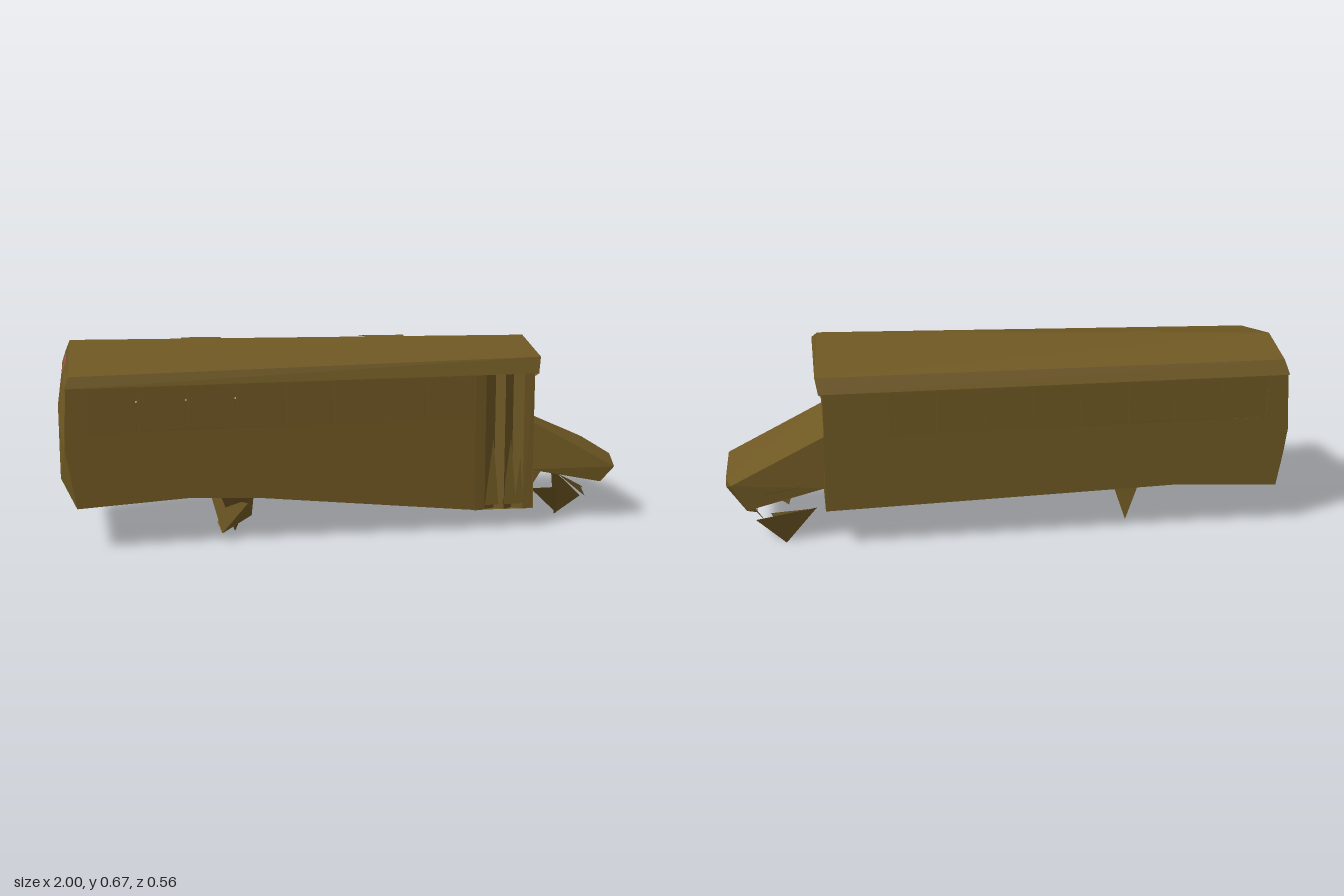
import * as THREE from 'three';

const paint = new THREE.MeshStandardMaterial({ color: 0x6f5823, flatShading: true, side: THREE.DoubleSide });
paint.name = 'ochrePaint';
const pink = new THREE.MeshStandardMaterial({ color: 0xa0505a, flatShading: true, side: THREE.DoubleSide });
pink.name = 'pinkLamp';

// Flat faces from polygons of [x, y, z] corners, each split as a fan
function faces(polys) {
  const out = [];
  for (const p of polys)
    for (let i = 1; i < p.length - 1; i++) out.push(...p[0], ...p[i], ...p[i + 1]);
  const g = new THREE.BufferGeometry();
  g.setAttribute('position', new THREE.Float32BufferAttribute(out, 3));
  g.computeVertexNormals();
  return g;
}

// Quads between two rows of points
const strip = (a, b) => a.slice(1).map((p, i) => [a[i], p, b[i + 1], b[i]]);

// Half width of the body: walls lean in upward
const halfWidth = y => 0.284 - 0.024 * y;

// Roof height, with a ridge running diagonally from rear to front
function roofY(x, z) {
  const t = (x + 0.95) / 1.61, d = z - (-0.11 + 0.22 * t);
  return 0.67 + 0.005 * t - Math.abs(d) * (d > 0 ? 0.2 : 0.165);
}

export function createModel() {
  const bus = new THREE.Group();
  bus.name = 'bus';
  const add = (name, geo, mat = paint) => {
    const m = new THREE.Mesh(geo, mat);
    m.name = name;
    bus.add(m);
  };

  // Side walls with eight window openings and recessed panes
  const pitch = 0.1675, first = -0.905;
  const lower = {
    1: [[-0.95, 0.15], [-0.57, 0.17], [-0.33, 0.158], [0.44, 0.075]],
    '-1': [[-0.95, 0.15], [-0.57, 0.17], [0.66, 0.14]],
  };
  for (const s of [1, -1]) {
    const end = s > 0 ? 0.44 : 0.655;
    const outline = [...lower[s], [end, 0.56], [-0.975, 0.56], [-0.985, 0.36]];
    const shape = new THREE.Shape(outline.map(p => new THREE.Vector2(...p)));
    for (let i = 0; i < 8; i++) {
      const x0 = first + i * pitch + 0.004, x1 = x0 + pitch - 0.008;
      shape.holes.push(new THREE.Path([[x0, 0.405], [x0, 0.552], [x1, 0.552], [x1, 0.405]]
        .map(p => new THREE.Vector2(...p))));
      const z = s * 0.264, sill = i > 0 && i < 4 ? 0.411 : 0.402;
      add('windowPane', faces([[[x0 - 0.002, sill, z], [x1 - 0.005, sill, z],
        [x1 - 0.005, 0.556, z], [x0 - 0.002, 0.556, z]]]));
    }
    const g = new THREE.ShapeGeometry(shape), p = g.attributes.position;
    for (let i = 0; i < p.count; i++) p.setZ(i, s * halfWidth(p.getY(i)));
    g.computeVertexNormals();
    add(s > 0 ? 'leftWall' : 'rightWall', g);
  }

  // Folding door between the windows and the windscreen wall
  const folds = [[0.44, 0.272], [0.48, 0.268], [0.52, 0.25], [0.55, 0.272], [0.585, 0.252], [0.62, 0.272], [0.655, 0.277]];
  add('door', faces(strip(folds.map(([x, z]) => [x, 0.072, Math.min(z + 0.006, 0.28)]),
    folds.map(([x, z]) => [x, 0.56, z]))));
  add('doorSpikes', faces([0.5, 0.565, 0.61].map(x =>
    [[x - 0.02, 0.09, 0.277], [x + 0.03, 0.09, 0.28], [x + 0.01, 0.33, 0.268]])));

  // Rear wall, bowed outward between its side edges
  const rearEdge = s => [[-0.95, 0.15, s * 0.28], [-0.985, 0.36, s * 0.275], [-0.975, 0.56, s * 0.27]];
  const bulge = s => [[-0.95, 0.15, s * 0.2], [-1, 0.24, s * 0.2], [-1, 0.42, s * 0.2], [-0.98, 0.56, s * 0.2]];
  const rearPolys = strip(bulge(1), bulge(-1));
  for (const s of [1, -1]) {
    const [e0, e1, e2] = rearEdge(s), [b0, b1, b2, b3] = bulge(s);
    rearPolys.push([e0, b0, b1, e1], [e1, b1, b2], [e1, b2, b3, e2]);
  }
  add('rearWall', faces(rearPolys));

  // Roof with fascia, rear slope and brow over the windscreen
  const back = [[-0.98, 0.56, 0.275], [-0.965, 0.598, 0.262], [-0.95, 0.67, -0.11],
    [-0.965, 0.61, -0.252], [-0.98, 0.56, -0.275]];
  const front = [[0.67, 0.56, 0.277], [0.68, 0.617, 0.262], [0.66, 0.675, 0.11],
    [0.68, 0.613, -0.252], [0.67, 0.56, -0.276]];
  const endCap = ([a, b, peak, c, d]) => [[b, peak, c], [b, c, d, a]];
  add('roof', faces(strip(back, front)));
  add('rearRoofSlope', faces(endCap(back)));
  add('frontBrow', faces([...endCap(front),
    [front[0], front[4], [0.65, 0.545, -0.27], [0.65, 0.545, 0.27]]]));

  // Roof hatches laid over the slopes
  for (const x of [-0.49, 0.16]) {
    const g = new THREE.PlaneGeometry(0.14, 0.14, 6, 6).rotateX(-Math.PI / 2).translate(x, 0, 0);
    const p = g.attributes.position;
    for (let i = 0; i < p.count; i++) p.setY(i, roofY(p.getX(i), p.getZ(i)) + 0.005);
    g.computeVertexNormals();
    add('roofHatch', g);
  }

  // Pink lamp on the rear roof slope
  add('rearLamp', faces([[[-0.966, 0.632, -0.09], [-0.986, 0.56, 0], [-0.966, 0.63, 0.085]]]), pink);

  // Windscreen wall and floor
  add('frontWall', faces([[[0.66, 0.07, 0.28], [0.66, 0.07, 0.13], [0.66, 0.14, -0.28],
    [0.65, 0.55, -0.27], [0.65, 0.55, 0.27]]]));
  const keel = [[-0.95, 0.15], [-0.57, 0.17], [-0.33, 0.158], [0.44, 0.075], [0.66, 0.07]];
  const [floorLeft, floorMid] = [0.28, 0.13].map(z => keel.map(([x, y]) => [x, y, z]));
  const floorRight = [[-0.95, 0.15], [-0.57, 0.17], [-0.33, 0.164], [0.44, 0.145], [0.66, 0.14]]
    .map(([x, y]) => [x, y, -0.28]);
  add('floor', faces([...strip(floorLeft, floorMid), ...strip(floorMid, floorRight)]));
  add('underfloorPlate', faces([[[-0.845, 0.15, 0.16], [-0.565, 0.165, 0.16],
    [-0.565, 0.165, -0.16], [-0.845, 0.15, -0.16]]]));

  // Hood: sloping top, angular sides and undercut nose
  const topL = [0.655, 0.383, 0.195], topR = [0.655, 0.383, -0.195];
  const noseL = [1, 0.226, 0.14], noseR = [1, 0.23, -0.15];
  const cornL = [0.98, 0.2, 0.24], cornR = [0.98, 0.235, -0.238];
  const lipL = [1, 0.2, 0.15], lipR = [1, 0.2, -0.15];
  const baseL = [0.66, 0.2, 0.225], baseR = [0.66, 0.2, -0.215];
  const chinL = [0.93, 0.145, 0.235], chinR = [0.93, 0.14, -0.235], chin = [0.9, 0.09, -0.13];
  add('hoodTop', faces([[topL, cornL, noseL, noseR, cornR, topR]]));
  add('hoodSides', faces([[topL, baseL, cornL], [topR, baseR, cornR]]));
  add('nose', faces([[noseL, lipL, lipR, noseR], [noseL, cornL, lipL], [noseR, cornR, lipR],
    [cornL, chinL, lipL], [cornR, chinR, lipR]]));
  add('noseUnderside', faces([[lipL, chinL, chin], [lipL, chin, lipR], [lipR, chin, chinR]]));
  add('hoodUnderside', faces([[baseL, chinL, cornL], [baseR, chinR, cornR],
    [baseL, baseR, chinR, chinL]]));
  add('bumper', faces([[[0.86, 0.13, 0.215], [0.9, 0.1, 0.15], chin, [0.88, 0.088, 0.215]],
    [chin, [0.87, 0.09, -0.21], [0.9, 0.13, -0.2]]]));

  // Wheels reduced to folded shards
  const wheels = {
    frontLeftWheel: [[[0.75, 0.2, 0.205], [0.79, 0.005, 0.14], [0.89, 0.07, 0.14]],
      [[0.68, 0.12, 0.19], [0.78, 0.12, 0.19], [0.8, 0.008, 0.14]]],
    frontRightWheel: [[[0.69, 0.13, -0.215], [0.9, 0.115, -0.262], [0.8, 0.005, -0.218]],
      [[0.72, 0.12, -0.2], [0.85, 0.1, -0.17], [0.8, 0.005, -0.19]],
      [[0.69, 0.22, -0.22], [0.9, 0.2, -0.258], [0.78, 0.2, -0.21]]],
    rearLeftWheel: [[[-0.49, 0.155, 0.2], [-0.46, 0.035, 0.268], [-0.36, 0.12, 0.2]],
      [[-0.46, 0.16, 0.25], [-0.4, 0.005, 0.14], [-0.35, 0.15, 0.2]],
      [[-0.46, 0.035, 0.268], [-0.47, 0.06, 0.2], [-0.33, 0.15, 0.14], [-0.34, 0.06, 0.14]]],
    rearRightWheel: [[[-0.46, 0.16, -0.22], [-0.42, 0.01, -0.19], [-0.37, 0.155, -0.18]]],
    rearAxle: [[[-0.44, 0.16, 0.06], [-0.4, 0.056, 0.054], [-0.36, 0.1, 0.0]]],
  };
  for (const [name, polys] of Object.entries(wheels)) add(name, faces(polys));

  return bus;
}
